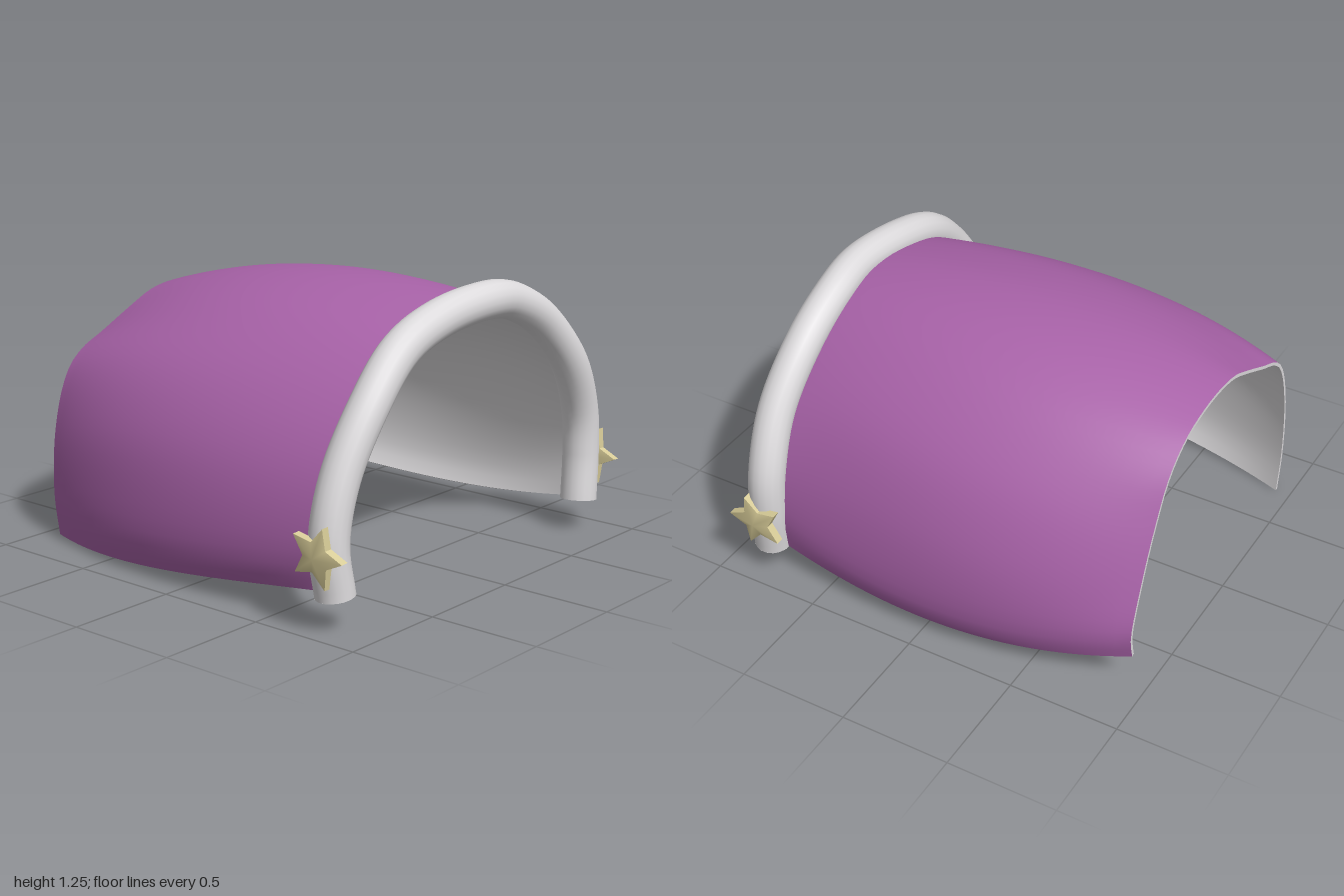
import * as THREE from 'three';

const purple = new THREE.MeshStandardMaterial({ color: 0xa862a8 });
purple.name = 'purple cloth';
const white = new THREE.MeshStandardMaterial({ color: 0xdcdadc, side: THREE.DoubleSide });
white.name = 'pale lining';
const gold = new THREE.MeshStandardMaterial({ color: 0xd8cc98 });
gold.name = 'pale gold';

const NU = 56, NV = 28;
const curve = (pts) => new THREE.CatmullRomCurve3(pts.map(([x, y, z = 0]) => new THREE.Vector3(x, y, z)));

// Arch outlines of the canopy from front to back
const sections = [
  [0.74, [[-0.86, 0.15], [-0.88, 0.32], [-0.82, 0.6], [-0.66, 0.85], [-0.42, 1.05], [-0.18, 1.14], [0.05, 1.17],
    [0.27, 1.14], [0.5, 1.02], [0.72, 0.8], [0.84, 0.56], [0.88, 0.32], [0.86, 0.15]]],
  [0, [[-0.88, 0.063], [-0.92, 0.14], [-0.935, 0.32], [-0.88, 0.63], [-0.715, 0.9], [-0.44, 1.1], [-0.18, 1.19], [0.04, 1.22],
    [0.27, 1.195], [0.515, 1.085], [0.76, 0.845], [0.89, 0.565], [0.935, 0.3], [0.925, 0.14], [0.895, 0.073]]],
  [-0.5, [[-0.845, 0.02], [-0.88, 0.12], [-0.89, 0.3], [-0.85, 0.6], [-0.71, 0.86], [-0.43, 1.045], [-0.18, 1.14], [0.03, 1.172],
    [0.25, 1.15], [0.485, 1.05], [0.715, 0.81], [0.845, 0.54], [0.89, 0.29], [0.878, 0.16], [0.85, 0.095]]],
  [-0.93, [[-0.74, 0.005], [-0.765, 0.2], [-0.752, 0.46], [-0.7, 0.67], [-0.64, 0.78], [-0.56, 0.845], [-0.45, 0.895],
    [-0.265, 0.985], [-0.125, 1.045], [0.03, 1.067], [0.2, 1.055], [0.34, 1.015], [0.475, 0.915], [0.585, 0.735],
    [0.693, 0.49], [0.76, 0.275], [0.74, 0.16]]],
].map(([z, pts]) => ({ z, pts: curve(pts).getSpacedPoints(NU) }));

// Smooth blend through the sections
function shellPoint(i, j) {
  const z = THREE.MathUtils.lerp(0.74, -0.93, i / NV);
  const p = new THREE.Vector3();
  sections.forEach((s, k) => {
    let w = 1;
    sections.forEach((o, m) => { if (m !== k) w *= (z - o.z) / (s.z - o.z); });
    p.addScaledVector(s.pts[j], w);
  });
  return p.setZ(z);
}

// Surface from rows of points
function gridGeometry(rows, flip = false) {
  const n = rows[0].length, index = [];
  for (let i = 0; i < rows.length - 1; i++) {
    for (let j = 0; j < n - 1; j++) {
      const a = i * n + j, b = a + 1, c = a + n, d = c + 1;
      index.push(...(flip ? [a, c, b, b, c, d] : [a, b, c, b, d, c]));
    }
  }
  const g = new THREE.BufferGeometry().setFromPoints(rows.flat());
  g.setIndex(index);
  g.computeVertexNormals();
  return g;
}

function named(name, geometry, material) {
  const mesh = new THREE.Mesh(geometry, material);
  mesh.name = name;
  return mesh;
}

function makeCanopy() {
  const group = new THREE.Group();
  group.name = 'canopy';
  const outer = Array.from({ length: NV + 1 }, (_, i) =>
    Array.from({ length: NU + 1 }, (_, j) => shellPoint(i, j)));
  const outerGeo = gridGeometry(outer);
  const normal = outerGeo.attributes.normal;
  const inner = outer.map((row, i) => row.map((p, j) => {
    const n = new THREE.Vector3().fromBufferAttribute(normal, i * (NU + 1) + j);
    n.z = 0;
    return p.clone().addScaledVector(n, -0.016);
  }));
  // Thin rim around all four edges
  const border = (g) => [
    ...g[0], ...g.map((r) => r[NU]), ...[...g[NV]].reverse(), ...g.map((r) => r[0]).reverse(),
  ];
  group.add(
    named('canopyCover', outerGeo, purple),
    named('canopyLining', gridGeometry(inner, true), white),
    named('canopyRim', gridGeometry([border(outer), border(inner)]), white),
  );
  return group;
}

// Padded roll along the front edge, slightly uneven
function makeRoll() {
  const group = new THREE.Group();
  group.name = 'frontRoll';
  const path = curve([[-0.86, 0.145], [-0.885, 0.36], [-0.82, 0.61], [-0.66, 0.87], [-0.45, 1.055], [-0.2, 1.143], [0.1, 1.175],
    [0.3, 1.145], [0.53, 1.03], [0.75, 0.8], [0.87, 0.55], [0.885, 0.36], [0.86, 0.145]]
    .map(([x, y], i) => [x, y, 0.787 + 0.008 * Math.cos(i * 2.1)]));
  group.add(named('rollTube', new THREE.TubeGeometry(path, 72, 0.083, 18), white));
  for (const t of [0, 1]) {
    const cap = named('rollEnd', new THREE.CircleGeometry(0.083, 18), white);
    cap.position.copy(path.getPoint(t));
    cap.lookAt(cap.position.clone().addScaledVector(path.getTangent(t), t ? 1 : -1));
    group.add(cap);
  }
  return group;
}

// Five-pointed star with softly domed faces, facing +z before it is turned
function starGeometry() {
  const ring = (z) => Array.from({ length: 10 }, (_, k) => {
    const r = k % 2 ? 0.065 : 0.134, a = (k * Math.PI) / 5 + Math.PI;
    return new THREE.Vector3(r * Math.cos(a), r * Math.sin(a), z);
  });
  const front = ring(0.015), back = ring(-0.02);
  const pts = [new THREE.Vector3(0, 0, 0.037), ...front, new THREE.Vector3(0, 0, -0.037), ...back];
  const index = [];
  for (let k = 0; k < 10; k++) {
    const m = (k + 1) % 10, s = pts.length;
    index.push(0, 1 + k, 1 + m, 11, 12 + m, 12 + k);
    pts.push(front[k], back[k], back[m], front[m]);
    index.push(s, s + 1, s + 2, s, s + 2, s + 3);
  }
  const g = new THREE.BufferGeometry().setFromPoints(pts);
  g.setIndex(index);
  g.computeVertexNormals();
  return g;
}

export function createModel() {
  const model = new THREE.Group();
  model.name = 'hood';
  model.add(makeCanopy(), makeRoll());
  const forward = new THREE.Vector3(0, 0, 1);
  for (const side of [1, -1]) {
    const star = named(side > 0 ? 'leftStar' : 'rightStar', starGeometry(), gold);
    star.position.set(side * 0.963, 0.33, 0.792);
    // The lone point of each star aims forward, and its top leans outward
    star.rotation.set(0, side * Math.PI / 2, side > 0 ? 0 : Math.PI);
    star.rotateOnWorldAxis(forward, -side * 0.06);
    model.add(star);
  }
  return model;
}
